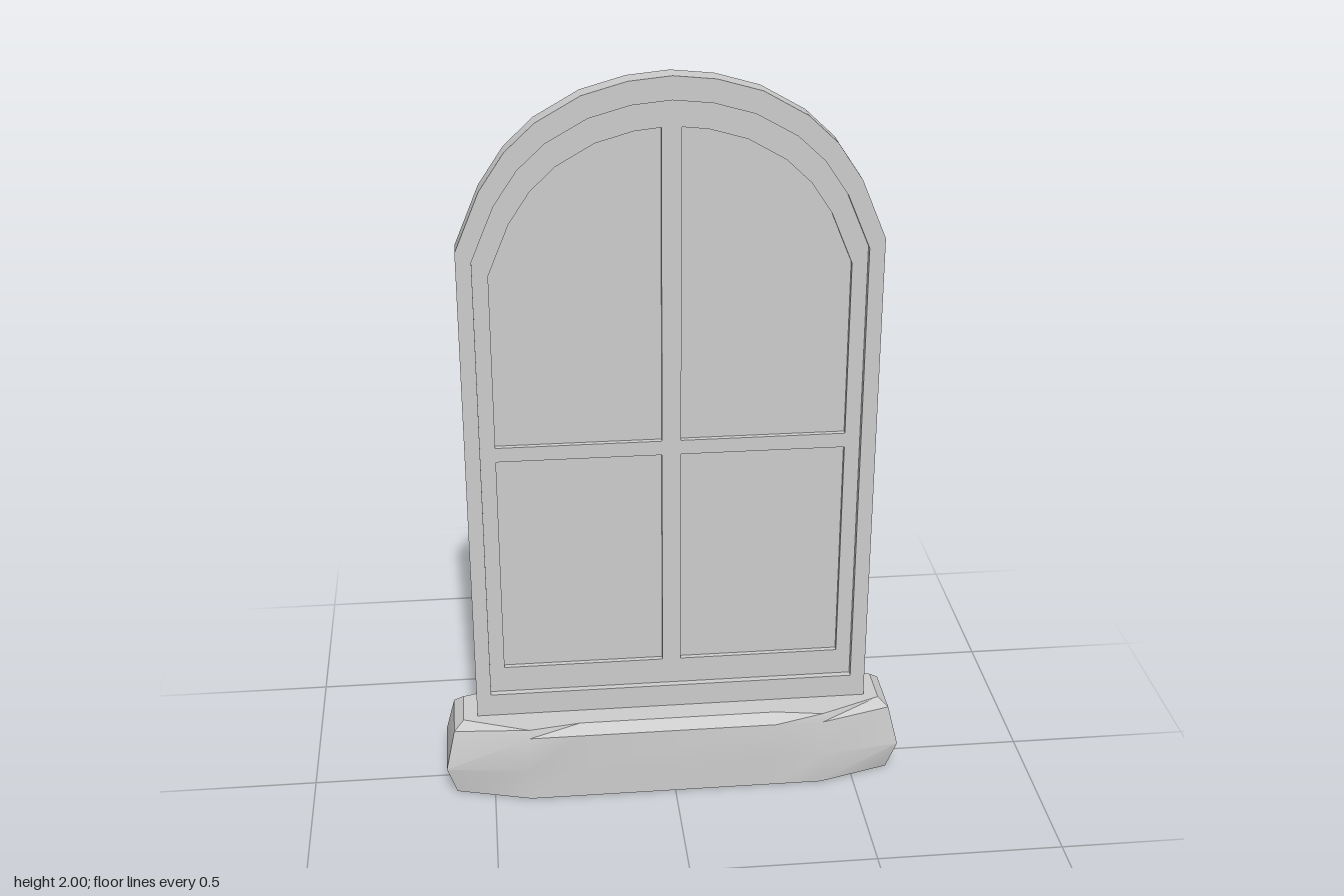
import * as THREE from 'three';
import { toCreasedNormals } from 'three/addons/utils/BufferGeometryUtils.js';

const material = new THREE.MeshStandardMaterial({ color: 0xcccccc });

// Right half of the arch, from spring line to crown (unit width and height)
const ARCH = [[1, 0], [0.88, 0.36], [0.76, 0.585], [0.62, 0.75], [0.41, 0.9], [0.2, 0.975], [0, 1]];

const toPoints = (list) => list.map(([x, y]) => new THREE.Vector2(x, y));

function archOutline(halfWidth, bottom, spring, top) {
  const right = ARCH.map(([u, v]) => [u * halfWidth, spring + v * (top - spring)]);
  const left = right.slice(0, -1).reverse().map(([x, y]) => [-x, y]);
  return toPoints([[-halfWidth, bottom], [halfWidth, bottom], ...right, ...left]);
}

const rectOutline = (x0, y0, x1, y1) => toPoints([[x0, y0], [x1, y0], [x1, y1], [x0, y1]]);

// Upper pane: a quarter of the arch cut off at the centre bar
function upperPaneOutline(side) {
  const curve = ARCH.slice(0, -1).map(([u, v]) => [side * u * 0.46, 1.5 + v * 0.37]);
  return toPoints([[side * 0.025, 1.025], [side * 0.46, 1.025], ...curve, [side * 0.025, 1.868]]);
}

function slab(name, outline, holes, zBack, zFront) {
  const shape = new THREE.Shape(outline);
  holes.forEach((h) => shape.holes.push(new THREE.Path(h)));
  const geometry = new THREE.ExtrudeGeometry(shape, { depth: zFront - zBack, bevelEnabled: false });
  geometry.translate(0, 0, zBack);
  const mesh = new THREE.Mesh(toCreasedNormals(geometry, 0.6), material);
  mesh.name = name;
  return mesh;
}

// Stone sill: stacked plan outlines joined into walls and capped
function buildSill() {
  // y, end x, end half depth, belly front, middle front, back
  const layers = [
    [0, 0.605, 0.08, 0.137, 0.137, 0.14],
    [0.09, 0.63, 0.105, 0.137, 0.137, 0.14],
    [0.197, 0.605, 0.08, 0.137, 0.137, 0.14],
    [0.22, 0.578, 0.06, 0.13, 0.108, 0.113],
  ];
  const rings = layers.map(([y, ex, ez, belly, middle, back]) => [
    [-ex, ez], [-0.4, belly], [-0.26, middle], [0.28, middle], [0.41, belly], [ex, ez],
    [ex, -ez], [0.4, -back], [-0.39, -back], [-ex, -ez],
  ].map(([x, z]) => [x, y, z]));

  const n = rings[0].length;
  const positions = [];
  const tri = (a, b, c) => positions.push(...a, ...b, ...c);
  for (let l = 0; l < rings.length - 1; l++) {
    for (let i = 0; i < n; i++) {
      const j = (i + 1) % n;
      const [a, b, c, d] = [rings[l][i], rings[l][j], rings[l + 1][j], rings[l + 1][i]];
      tri(a, b, c);
      tri(a, c, d);
    }
  }
  const top = rings[rings.length - 1];
  const bottom = rings[0];
  for (let i = 0; i < n; i++) {
    const j = (i + 1) % n;
    tri([0, 0.22, 0], top[i], top[j]);
    tri([0, 0, 0], bottom[j], bottom[i]);
  }
  const geometry = new THREE.BufferGeometry();
  geometry.setAttribute('position', new THREE.Float32BufferAttribute(positions, 3));
  const mesh = new THREE.Mesh(toCreasedNormals(geometry, 0.55), material);
  mesh.name = 'sill';
  return mesh;
}

export function createModel() {
  const group = new THREE.Group();
  group.name = 'archedWindow';

  const outer = archOutline(0.54, 0.2, 1.57, 2.0);
  const inner = archOutline(0.5, 0.285, 1.545, 1.94);

  // Four openings between the glazing bars
  const openings = [-1, 1].flatMap((side) => [
    rectOutline(side * 0.025, 0.36, side * 0.46, 0.985),
    upperPaneOutline(side),
  ]);
  // Two shallow dents in the back
  const dents = [rectOutline(-0.1, 1.16, 0.008, 1.47), rectOutline(-0.24, 0.76, -0.11, 1.14)];

  group.add(
    slab('outerRim', outer, [inner], 0.012, 0.044),
    slab('innerFrame', inner, openings, 0.012, 0.026),
    slab('panes', outer, [], -0.011, 0.012),
    slab('backSkin', outer, dents, -0.015, -0.011),
    slab('backStrip', rectOutline(0, 0.4, 0.03, 0.785), [], -0.023, -0.012),
    buildSill(),
  );
  return group;
}
